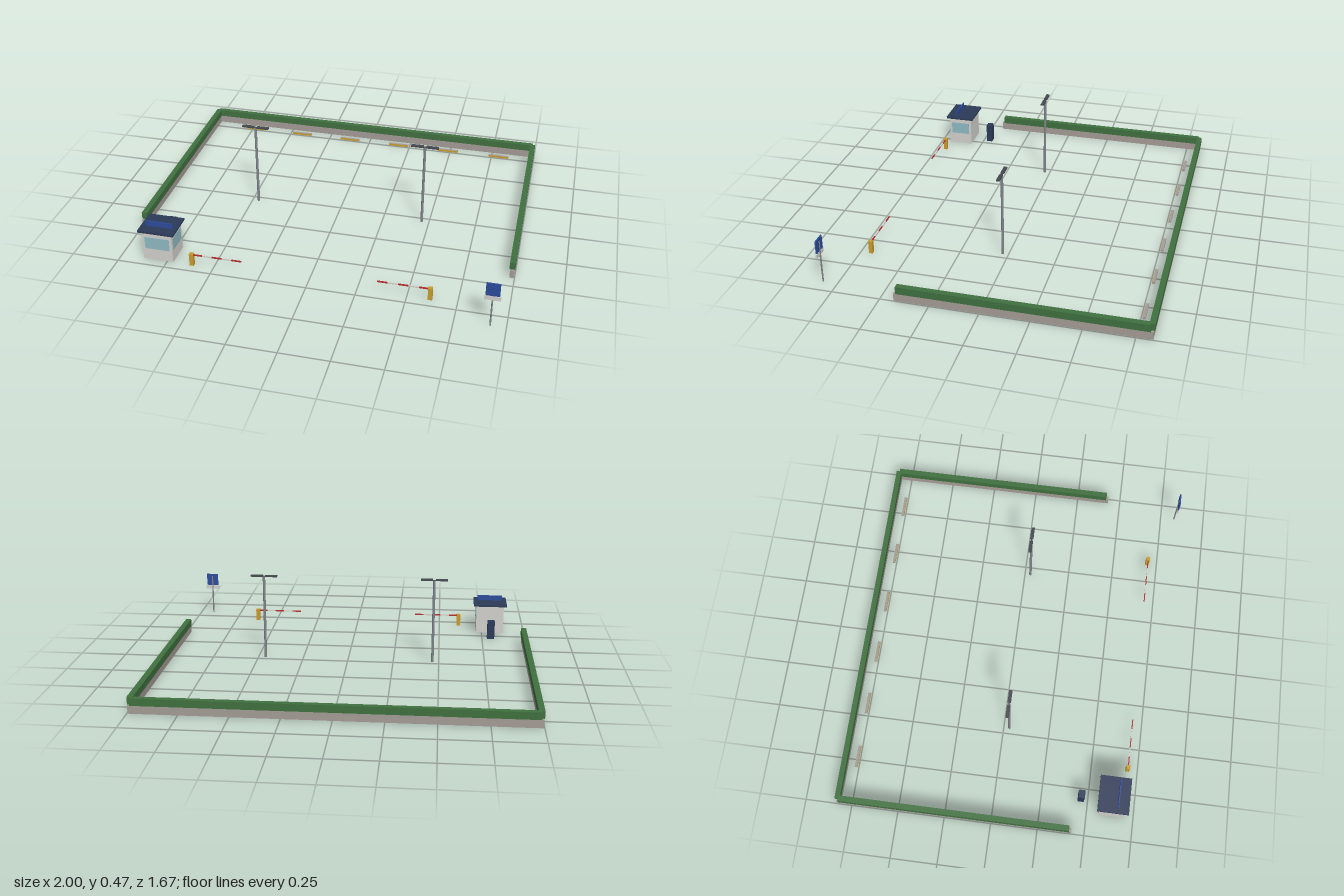
import * as THREE from 'three';

const mat = (name, color) => {
  const m = new THREE.MeshStandardMaterial({ color });
  m.name = name;
  return m;
};

export function createModel() {
  const hedgeGreen = mat('hedge green', 0x40703f);
  const concrete = mat('concrete', 0xa39b95);
  const steel = mat('steel grey', 0x80858b);
  const dark = mat('dark grey', 0x454a50);
  const pale = mat('pale grey', 0xd2d1cc);
  const glass = mat('window glass', 0x8fbac4);
  const navy = mat('navy', 0x2c3a58);
  const blue = mat('sign blue', 0x2c4c9a);
  const yellow = mat('yellow', 0xc99c2c);
  const red = mat('barrier red', 0xb52f2f);

  const model = new THREE.Group();
  model.name = 'parkingLot';

  const group = (name, x = 0, z = 0) => {
    const g = new THREE.Group();
    g.name = name;
    g.position.set(x, 0, z);
    model.add(g);
    return g;
  };
  // Box given by its size, with y as the underside
  const box = (parent, name, material, w, h, d, x, y, z) => {
    const m = new THREE.Mesh(new THREE.BoxGeometry(w, h, d), material);
    m.name = name;
    m.position.set(x, y + h / 2, z);
    parent.add(m);
    return m;
  };
  const pole = (parent, name, radius, height, x = 0, z = 0) => {
    const m = new THREE.Mesh(new THREE.CylinderGeometry(radius, radius, height, 12), steel);
    m.name = name;
    m.position.set(x, height / 2, z);
    parent.add(m);
  };

  // Low wall with a hedge on top, open towards the front
  const boundary = group('boundary');
  box(boundary, 'backWall', concrete, 1.97, 0.043, 0.022, 0, 0, -0.82);
  box(boundary, 'backHedge', hedgeGreen, 1.97, 0.038, 0.028, 0, 0.043, -0.821);
  for (const s of [-1, 1]) {
    box(boundary, 'sideWall', concrete, 0.022, 0.043, 1.26, s * 0.985, 0, -0.2);
    box(boundary, 'sideHedge', hedgeGreen, 0.03, 0.039, 1.235, s * 0.985, 0.043, -0.2);
  }

  // Wheel stops with yellow fronts along the back wall
  for (let i = 0; i < 6; i++) {
    const stop = group('wheelStop', -0.733 + i * 0.305, -0.765);
    box(stop, 'stopBlock', concrete, 0.118, 0.011, 0.014, 0, 0, 0);
    box(stop, 'stopStripe', yellow, 0.118, 0.011, 0.001, 0, 0, 0.0075);
  }

  // Double-headed lamps
  for (const x of [-0.465, 0.46]) {
    const lamp = group('lamp', x, 0.031);
    pole(lamp, 'lampPole', 0.007, 0.465);
    box(lamp, 'lampArm', dark, 0.05, 0.005, 0.006, 0, 0.462, 0);
    for (const s of [-1, 1]) {
      box(lamp, 'lampHead', dark, 0.065, 0.008, 0.018, s * 0.04, 0.463, 0);
    }
  }

  // Ticket booth with windows at the front and on its left
  const booth = group('booth', -0.797, 0.63);
  box(booth, 'boothBody', pale, 0.16, 0.165, 0.136, 0, 0, 0);
  box(booth, 'frontWindow', glass, 0.132, 0.068, 0.004, 0, 0.066, 0.068);
  box(booth, 'sideWindow', glass, 0.004, 0.068, 0.108, 0.08, 0.066, 0);
  box(booth, 'roof', navy, 0.193, 0.011, 0.165, 0, 0.165, 0);
  box(booth, 'roofSign', blue, 0.145, 0.029, 0.006, 0.002, 0.176, 0.024);

  // Pay machine behind the booth
  const machine = group('payMachine', -0.8, 0.463);
  box(machine, 'machineBody', navy, 0.042, 0.106, 0.034, 0, 0, 0);

  // Mirrored barriers with striped arms reaching inward
  for (const s of [-1, 1]) {
    const barrier = group('barrier', s * 0.615, 0.695);
    box(barrier, 'barrierPost', yellow, 0.022, 0.069, 0.02, 0, 0, 0);
    for (let i = 0; i < 5; i++) {
      box(barrier, 'barrierArm', i % 2 ? pale : red, 0.052, 0.007, 0.005,
        -s * (0.031 + i * 0.052), 0.058, 0);
    }
  }

  // Entrance sign
  const sign = group('entranceSign', 0.923, 0.831);
  pole(sign, 'signPole', 0.004, 0.235, 0, -0.003);
  box(sign, 'signPanel', blue, 0.068, 0.07, 0.007, 0, 0.178, 0);
  box(sign, 'infoPanel', pale, 0.08, 0.022, 0.006, 0, 0.153, 0);

  return model;
}
